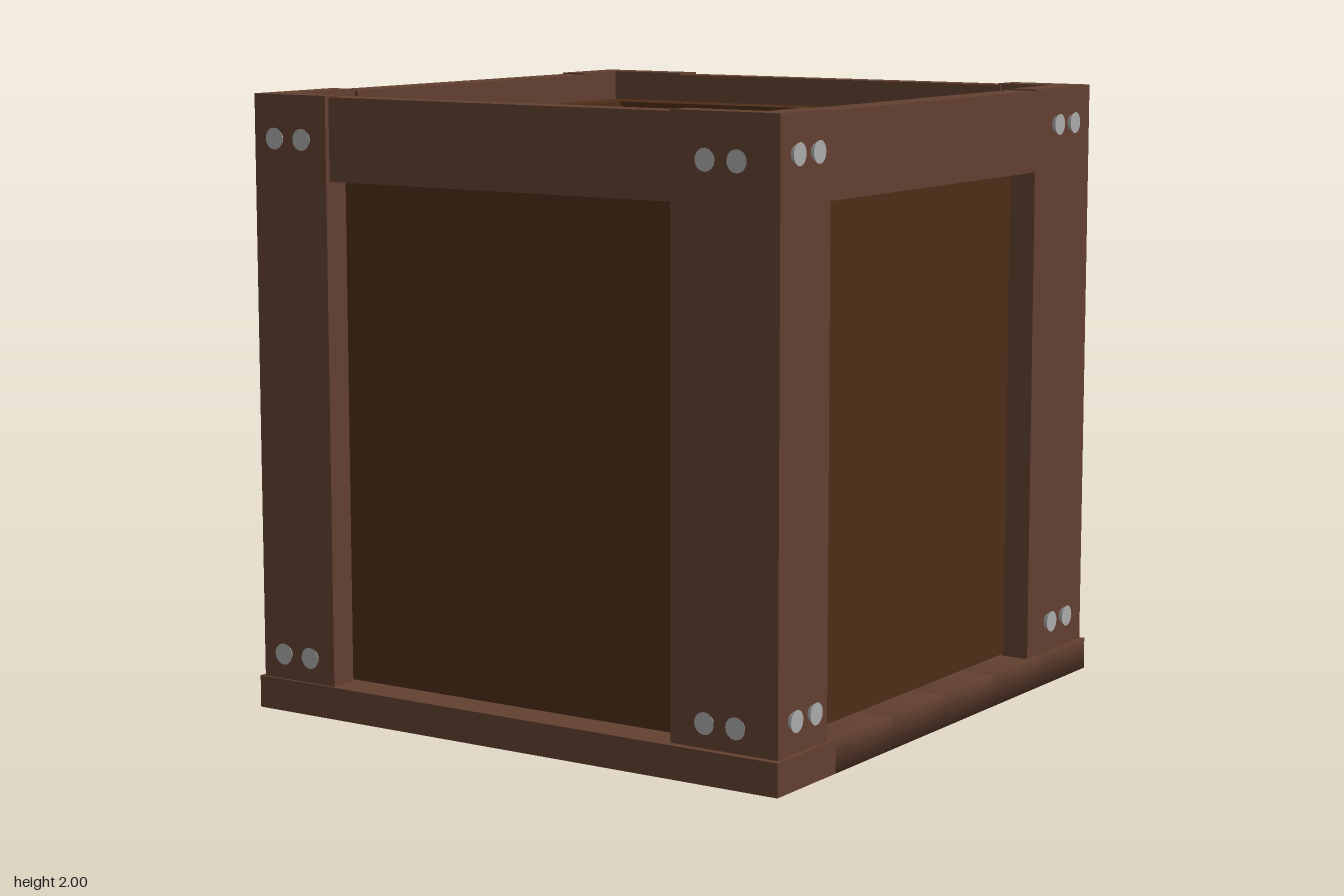
import * as THREE from 'three';
import { mergeVertices } from 'three/addons/utils/BufferGeometryUtils.js';

const wood = new THREE.MeshStandardMaterial({ color: 0x624030 });
const darkWood = new THREE.MeshStandardMaterial({ color: 0x4e2d18 });
const steel = new THREE.MeshStandardMaterial({ color: 0xaaaaaa });

function add(parent, name, geometry, material, x = 0, y = 0, z = 0) {
  const mesh = new THREE.Mesh(geometry, material);
  mesh.name = name;
  mesh.position.set(x, y, z);
  parent.add(mesh);
}

// Plank with soft shading across its edges
function softPlank(width, height, depth) {
  const box = new THREE.BoxGeometry(width, height, depth);
  box.deleteAttribute('normal');
  box.deleteAttribute('uv');
  const smooth = mergeVertices(box);
  smooth.computeVertexNormals();
  return smooth;
}

// L-shaped corner post: a wide board on this side, a narrow one on the next
function cornerPost(faceX, faceZ) {
  const plan = [[0.6, faceZ], [faceX, faceZ], [faceX, 0.69], [0.885, 0.69], [0.885, 0.885], [0.6, 0.885]];
  const shape = new THREE.Shape(plan.map(([x, z]) => new THREE.Vector2(x, -z)));
  return new THREE.ExtrudeGeometry(shape, { depth: 1.9, bevelEnabled: false }).rotateX(-Math.PI / 2);
}

export function createModel() {
  const crate = new THREE.Group();
  crate.name = 'crate';

  // Base of six planks, the front one with crisp edges
  const base = new THREE.Group();
  base.name = 'base';
  crate.add(base);
  const plankSize = [1.99, 0.105, 0.331];
  const soft = softPlank(...plankSize);
  const crisp = new THREE.BoxGeometry(...plankSize);
  for (let i = 0; i < 6; i++) {
    add(base, 'basePlank', i === 5 ? crisp : soft, wood, 0, 0.0525, -0.828 + i * 0.3312);
  }

  // Inner box: four thick walls and a floor
  const inner = new THREE.Group();
  inner.name = 'innerBox';
  crate.add(inner);
  const outline = new THREE.Shape();
  outline.moveTo(-0.89, -0.89).lineTo(0.89, -0.89).lineTo(0.89, 0.89).lineTo(-0.89, 0.89);
  const opening = new THREE.Path();
  opening.moveTo(-0.77, -0.725).lineTo(-0.77, 0.75).lineTo(0.73, 0.75).lineTo(0.73, -0.725);
  outline.holes.push(opening);
  const walls = new THREE.ExtrudeGeometry(outline, { depth: 1.788, bevelEnabled: false });
  add(inner, 'innerWalls', walls.rotateX(-Math.PI / 2), darkWood, 0, 0.112, 0);
  add(inner, 'innerFloor', new THREE.BoxGeometry(1.6, 0.13, 1.6), darkWood, 0, 0.178, 0);

  const screw = new THREE.CylinderGeometry(0.035, 0.015, 0.03, 16).rotateX(Math.PI / 2);

  // Each side repeats by a quarter turn; some boards sit flush, others proud
  const sides = [
    { name: 'front', postX: 0.98, postZ: 0.968, railZ: 0.968, lift: 0 },
    { name: 'left', postX: 0.985, postZ: 0.98, railZ: 0.98, lift: 0.02 },
    { name: 'back', postX: 0.98, postZ: 0.985, railZ: 0.965, lift: 0 },
    { name: 'right', postX: 0.985, postZ: 0.98, railZ: 0.98, lift: 0 },
  ];
  sides.forEach(({ name, postX, postZ, railZ, lift }, i) => {
    const side = new THREE.Group();
    side.name = name + 'Side';
    side.rotation.y = i * Math.PI / 2;
    crate.add(side);
    add(side, 'cornerPost', cornerPost(postX, postZ), wood, 0, 0.1, 0);
    const thickness = railZ - 0.875;
    const rail = new THREE.BoxGeometry(1.3, 0.265, thickness);
    add(side, 'topRail', rail, wood, -0.05, 1.8625, railZ - thickness / 2);
    for (const x of [-0.89, -0.78, 0.74, 0.85]) {
      for (const y of [0.19, 1.86]) add(side, 'screw', screw, steel, x, y + lift, 0.983);
    }
  });

  return crate;
}
